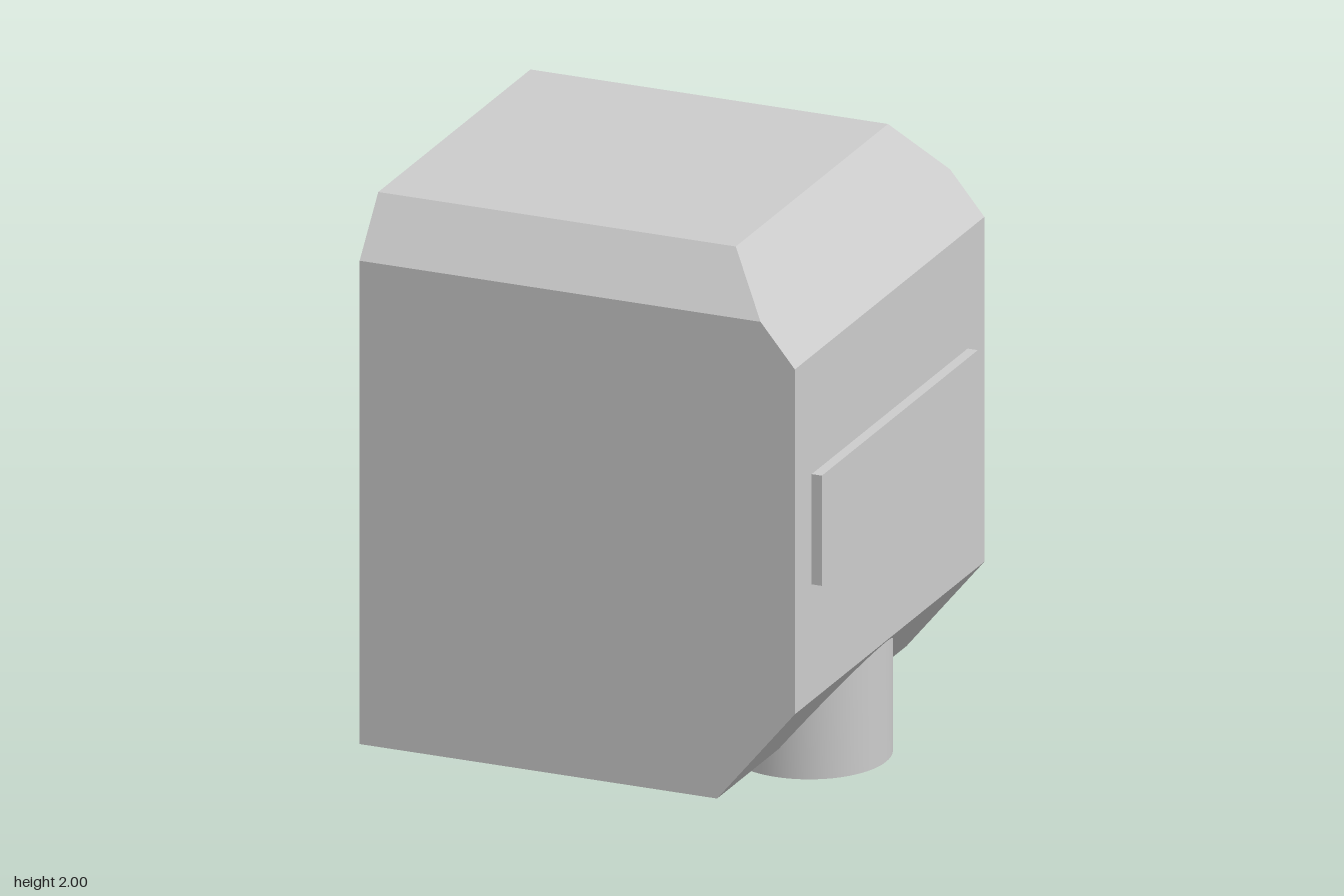
import * as THREE from 'three';
import { ConvexGeometry } from 'three/addons/geometries/ConvexGeometry.js';
import { toCreasedNormals } from 'three/addons/utils/BufferGeometryUtils.js';

const material = new THREE.MeshStandardMaterial({ color: 0xcccccc });

function addPart(group, name, geometry, x = 0, y = 0, z = 0) {
  const mesh = new THREE.Mesh(geometry, material);
  mesh.name = name;
  mesh.position.set(x, y, z);
  group.add(mesh);
}

export function createModel() {
  const group = new THREE.Group();
  group.name = 'housing';

  // Body: block with chamfered top edges and a chamfered lower +x edge
  const sideOutline = [[-0.805, 0.1], [0.487, 0.1], [0.768, 0.44], [0.768, 1.66], [0.644, 1.81], [-0.805, 1.81]];
  const topEdge = [[-0.805, 2], [0.487, 2]];
  const corners = [];
  for (const s of [-1, 1]) {
    for (const [x, y] of sideOutline) corners.push(new THREE.Vector3(x, y, s * 0.787));
    for (const [x, y] of topEdge) corners.push(new THREE.Vector3(x, y, s * 0.632));
  }
  addPart(group, 'body', new ConvexGeometry(corners));

  // Raised plate on the +x face, sunk slightly into the body
  addPart(group, 'sidePlate', new THREE.BoxGeometry(0.057, 0.39, 1.295), 0.7765, 1.047, 0);

  // Round outlet under the lower chamfer, with a shallow recess in its mouth
  const profile = [[0, 0.09], [0.23, 0.09], [0.23, 0], [0.277, 0], [0.277, 0.44], [0, 0.44]]
    .map(([r, y]) => new THREE.Vector2(r, y));
  addPart(group, 'outletPipe', toCreasedNormals(new THREE.LatheGeometry(profile, 64), 0.6), 0.478, 0, 0);

  return group;
}
